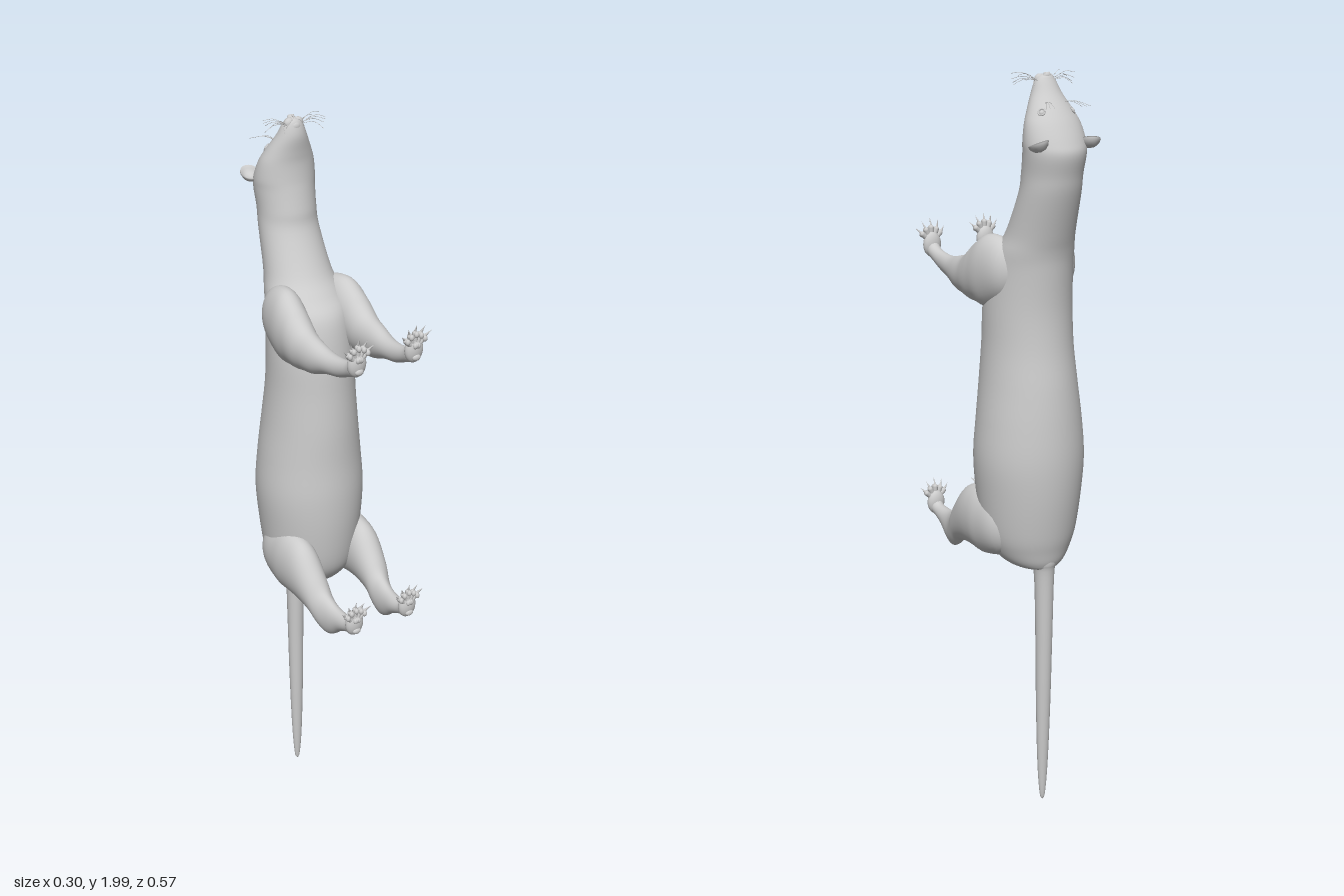
import * as THREE from 'three';

const grey = new THREE.MeshStandardMaterial({ color: 0xcccccc, side: THREE.DoubleSide });

function add(parent, name, geometry, position = [0, 0, 0], scale = [1, 1, 1]) {
  const mesh = new THREE.Mesh(geometry, grey);
  mesh.name = name;
  mesh.position.set(...position);
  mesh.scale.set(...scale);
  parent.add(mesh);
  return mesh;
}

const ball = new THREE.SphereGeometry(1, 20, 14);

// Smooth skin through elliptical rings [x, y, z, halfWidth, halfDepth] stacked along y or z
function loft(rings, axis, side = 1, sub = 5, n = 36) {
  const centres = new THREE.CatmullRomCurve3(rings.map(r => new THREE.Vector3(r[0] * side, r[1], r[2])), false, 'catmullrom', 0.5);
  const radii = new THREE.CatmullRomCurve3(rings.map(r => new THREE.Vector3(r[3], r[4], 0)), false, 'catmullrom', 0.5);
  const steps = (rings.length - 1) * sub, pos = [], index = [];
  for (let i = 0; i <= steps; i++) {
    const c = centres.getPoint(i / steps), r = radii.getPoint(i / steps);
    for (let j = 0; j < n; j++) {
      const t = j / n * Math.PI * 2;
      const u = Math.max(r.x, 0.0005) * Math.cos(t), v = Math.max(r.y, 0.0005) * Math.sin(t);
      if (axis === 'y') pos.push(c.x + u, c.y, c.z - v);
      else pos.push(c.x + u, c.y + v, c.z);
      if (i < steps) {
        const a = i * n + j, b = i * n + (j + 1) % n;
        index.push(a, b, a + n, b, b + n, a + n);
      }
    }
  }
  const g = new THREE.BufferGeometry();
  g.setAttribute('position', new THREE.Float32BufferAttribute(pos, 3));
  g.setIndex(index);
  g.computeVertexNormals();
  return g;
}

function strand(points, radius, segments = 8) {
  const curve = new THREE.CatmullRomCurve3(points.map(p => new THREE.Vector3(...p)));
  return new THREE.TubeGeometry(curve, segments, radius, 5);
}

// Upright paw: sole towards +z, five fanned toes with pads and claws
function paw(name, x, y, z) {
  const g = new THREE.Group();
  g.name = name;
  g.position.set(x, y, z);
  add(g, 'palm', ball, [0, -0.003, -0.004], [0.026, 0.034, 0.016]);
  add(g, 'heelPad', ball, [0, -0.02, 0.008], [0.012, 0.009, 0.007]);
  for (let i = -2; i <= 2; i++) {
    const a = i * 0.4, reach = 0.036 - Math.abs(i) * 0.002;
    const at = d => [Math.sin(a) * d, Math.cos(a) * d];
    const toe = add(g, 'toe', new THREE.CapsuleGeometry(0.0075, 0.026, 5, 10), [...at(reach - 0.008), 0]);
    toe.rotation.z = -a;
    add(g, 'toePad', ball, [...at(reach + 0.003), 0.007], [0.0065, 0.008, 0.006]);
    const claw = add(g, 'claw', new THREE.ConeGeometry(0.0035, 0.022, 8), [...at(reach + 0.02), 0.004]);
    claw.rotation.set(0.35, 0, -a, 'ZXY');
    if (Math.abs(i) < 2) add(g, 'palmPad', ball, [...at(0.012), 0.009], [0.006, 0.008, 0.006]);
  }
  return g;
}

const bodyRings = [
  [0, 0.695, -0.13, 0.004, 0.004], [0, 0.7, -0.127, 0.05, 0.06], [0, 0.716, -0.11, 0.082, 0.092],
  [0, 0.75, -0.096, 0.107, 0.115], [0, 0.8, -0.09, 0.125, 0.132], [0, 0.9, -0.09, 0.138, 0.145],
  [0, 1.0, -0.091, 0.145, 0.149], [0, 1.1, -0.091, 0.137, 0.144], [0, 1.2, -0.087, 0.125, 0.138],
  [0, 1.3, -0.083, 0.116, 0.128], [0, 1.4, -0.083, 0.113, 0.122], [0, 1.5, -0.095, 0.107, 0.115],
  [0, 1.55, -0.118, 0.1, 0.098], [0, 1.6, -0.145, 0.088, 0.085], [0, 1.7, -0.185, 0.079, 0.075],
  [0, 1.75, -0.195, 0.077, 0.075], [0, 1.8, -0.205, 0.08, 0.075], [0, 1.83, -0.203, 0.081, 0.068],
  [0, 1.87, -0.194, 0.074, 0.056], [0, 1.9, -0.183, 0.061, 0.047], [0, 1.94, -0.166, 0.04, 0.034],
  [0, 1.97, -0.16, 0.027, 0.022], [0, 1.982, -0.16, 0.015, 0.014], [0, 1.986, -0.16, 0.001, 0.001],
];
const tailRings = [
  [0, 0, -0.17, 0.001, 0.001], [0, 0.02, -0.17, 0.008, 0.007], [0, 0.12, -0.17, 0.015, 0.013],
  [0, 0.3, -0.171, 0.02, 0.019], [0, 0.5, -0.172, 0.023, 0.023], [0, 0.68, -0.171, 0.027, 0.028],
  [0, 0.72, -0.165, 0.037, 0.04], [0, 0.77, -0.15, 0.05, 0.055],
];
const foreRings = [
  [0.07, 1.5, -0.16, 0.004, 0.01], [0.077, 1.5, -0.12, 0.044, 0.07], [0.087, 1.49, -0.05, 0.05, 0.095],
  [0.091, 1.478, 0, 0.046, 0.08], [0.092, 1.467, 0.03, 0.043, 0.067], [0.092, 1.46, 0.06, 0.038, 0.054],
  [0.091, 1.457, 0.1, 0.033, 0.045], [0.087, 1.46, 0.15, 0.026, 0.03], [0.084, 1.465, 0.2, 0.02, 0.025],
  [0.083, 1.477, 0.24, 0.018, 0.021], [0.083, 1.492, 0.268, 0.018, 0.024], [0.083, 1.495, 0.28, 0.006, 0.008],
];
const hindRings = [
  [0.07, 0.81, -0.17, 0.004, 0.01], [0.08, 0.815, -0.12, 0.054, 0.075], [0.092, 0.81, -0.05, 0.055, 0.092],
  [0.096, 0.81, 0, 0.051, 0.09], [0.096, 0.8, 0.05, 0.046, 0.082], [0.094, 0.766, 0.1, 0.038, 0.06],
  [0.09, 0.735, 0.13, 0.032, 0.054], [0.087, 0.722, 0.155, 0.027, 0.052], [0.085, 0.722, 0.18, 0.024, 0.042],
  [0.083, 0.732, 0.21, 0.021, 0.028], [0.083, 0.742, 0.245, 0.018, 0.02], [0.083, 0.752, 0.268, 0.018, 0.024],
  [0.083, 0.755, 0.28, 0.006, 0.008],
];
// Cupped ear with a rolled rim
const earProfile = [[0, -0.014], [0.5, -0.011], [0.85, -0.003], [1, 0.006], [0.96, 0.009], [0.8, 0.002], [0.45, -0.005], [0, -0.007]]
  .map(([r, y]) => new THREE.Vector2(r * 0.027, y));

export function createModel() {
  const model = new THREE.Group();
  model.name = 'weasel';

  add(model, 'body', loft(bodyRings, 'y', 1, 5, 48));
  add(model, 'tail', loft(tailRings, 'y', 1, 5, 24));

  // Face centre line
  add(model, 'nose', ball, [0, 1.981, -0.167], [0.011, 0.009, 0.008]);
  add(model, 'chin', ball, [0, 1.965, -0.144], [0.014, 0.012, 0.008]);
  add(model, 'noseGroove', strand([[0, 1.988, -0.162], [0, 1.987, -0.157], [0, 1.984, -0.152]], 0.001));

  for (const s of [1, -1]) {
    const label = s > 0 ? 'left' : 'right';
    add(model, label + 'ForeLeg', loft(foreRings, 'z', s));
    add(model, label + 'HindLeg', loft(hindRings, 'z', s));
    model.add(paw(label + 'ForePaw', s * 0.083, 1.504, 0.273));
    model.add(paw(label + 'HindPaw', s * 0.083, 0.764, 0.273));

    // Ears, eyes and muzzle
    const ear = add(model, label + 'Ear', new THREE.LatheGeometry(earProfile, 28), [s * 0.073, 1.826, -0.25], [0.88, 1, 1.15]);
    ear.rotation.set(0.3, 0, -s * 0.2);
    add(model, label + 'Eye', ball, [s * 0.043, 1.899, -0.213], [0.0075, 0.0075, 0.0075]);
    const lid = add(model, label + 'Eyelid', new THREE.TorusGeometry(0.0085, 0.002, 8, 20), [s * 0.0445, 1.902, -0.215]);
    lid.lookAt(s * 0.1, 1.95, -0.26);
    add(model, label + 'Muzzle', ball, [s * 0.012, 1.972, -0.155], [0.015, 0.014, 0.011]);
    add(model, label + 'Nostril', ball, [s * 0.006, 1.987, -0.168], [0.003, 0.003, 0.003]);
    add(model, label + 'Mouth', strand([[0, 1.984, -0.152], [s * 0.012, 1.98, -0.146], [s * 0.026, 1.963, -0.147]], 0.001));

    // Whiskers fan out sideways from the muzzle, brow hairs sweep back over the eyes
    for (let i = 0; i < 7; i++) {
      const f = i / 6, z = -0.164 + f * 0.016, tip = -0.2 + f * 0.1;
      const reach = 0.055 + 0.03 * Math.sin(f * Math.PI), lift = (i % 3) * 0.012;
      add(model, label + 'Whisker', strand([
        [s * 0.02, 1.97, z], [s * (0.02 + reach * 0.45), 1.974 + lift * 0.6, z + (tip - z) * 0.4],
        [s * reach, 1.962 + lift, tip]], 0.0006));
    }
    for (let i = 0; i < 3; i++) {
      add(model, label + 'BrowHair', strand([
        [s * 0.026, 1.92, -0.2], [s * (0.03 + i * 0.006), 1.925, -0.23], [s * (0.04 + i * 0.012), 1.915, -0.265]], 0.0006));
    }
  }
  return model;
}
